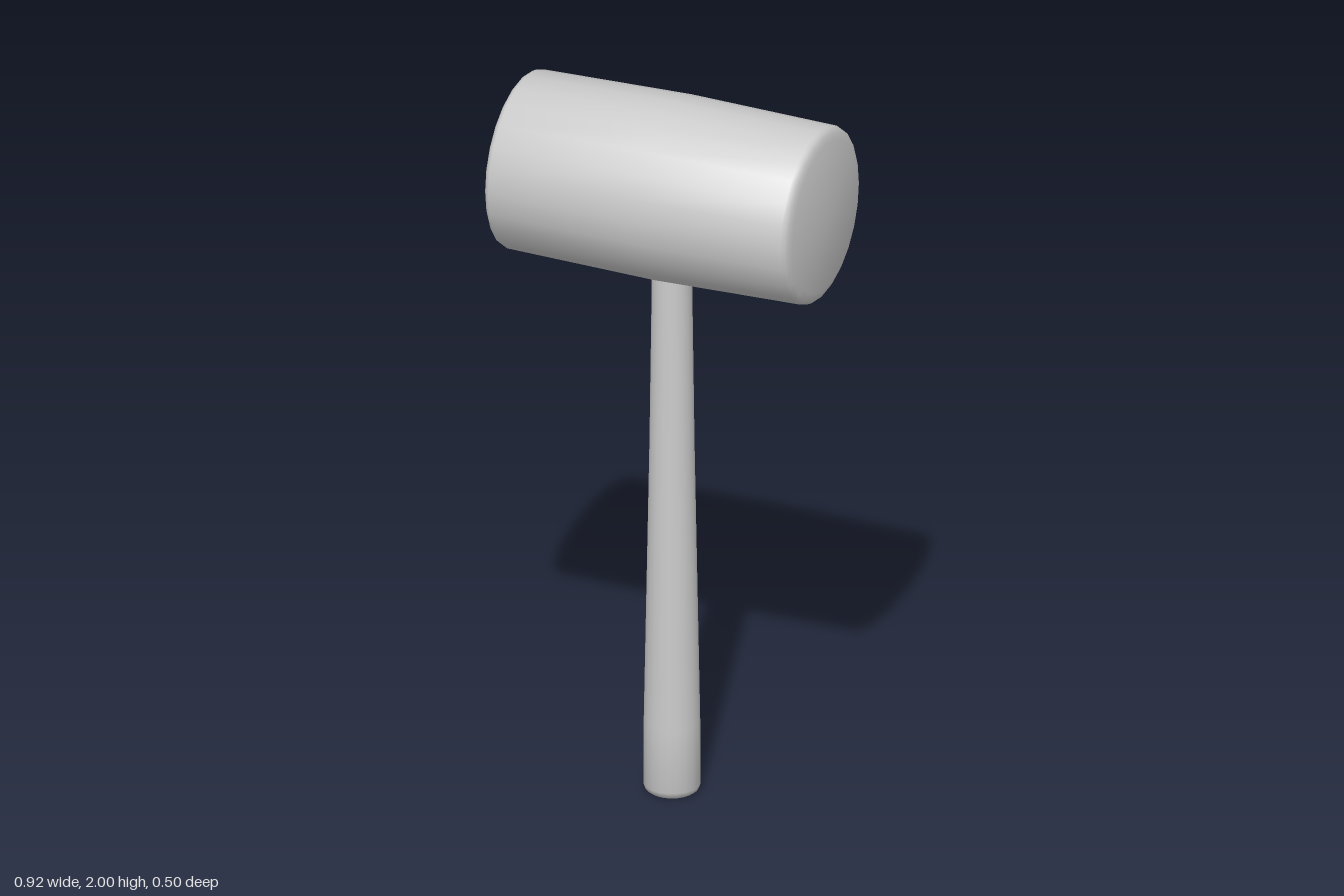
import * as THREE from 'three';
import { toCreasedNormals } from 'three/addons/utils/BufferGeometryUtils.js';

const material = new THREE.MeshStandardMaterial({ color: 0xcccccc });

// Turned part: profile is a list of [radius, height], bottom to top
function turned(name, profile, sides) {
  const points = profile.map(([r, h]) => new THREE.Vector2(r, h));
  const geometry = toCreasedNormals(new THREE.LatheGeometry(points, sides), 0.75);
  const mesh = new THREE.Mesh(geometry, material);
  mesh.name = name;
  return mesh;
}

export function createModel() {
  const model = new THREE.Group();
  model.name = 'mallet';

  // Barrel-shaped head with rounded rims and slightly domed striking faces
  const half = [[0.25, 0], [0.241, 0.422], [0.236, 0.432], [0.226, 0.438], [0.208, 0.443], [0, 0.458]];
  const mirrored = half.slice(1).reverse().map(([r, h]) => [r, -h]);
  const head = turned('head', [...mirrored, ...half], 24);
  head.rotation.z = -Math.PI / 2;
  head.position.y = 1.75;
  model.add(head);

  // Tapered handle with a softened butt, running up into the head
  model.add(turned('handle', [
    [0, 0], [0.063, 0], [0.071, 0.006], [0.076, 0.02], [0.075, 0.2],
    [0.06, 1.0], [0.054, 1.45], [0.053, 1.6], [0, 1.6],
  ], 20));

  return model;
}
